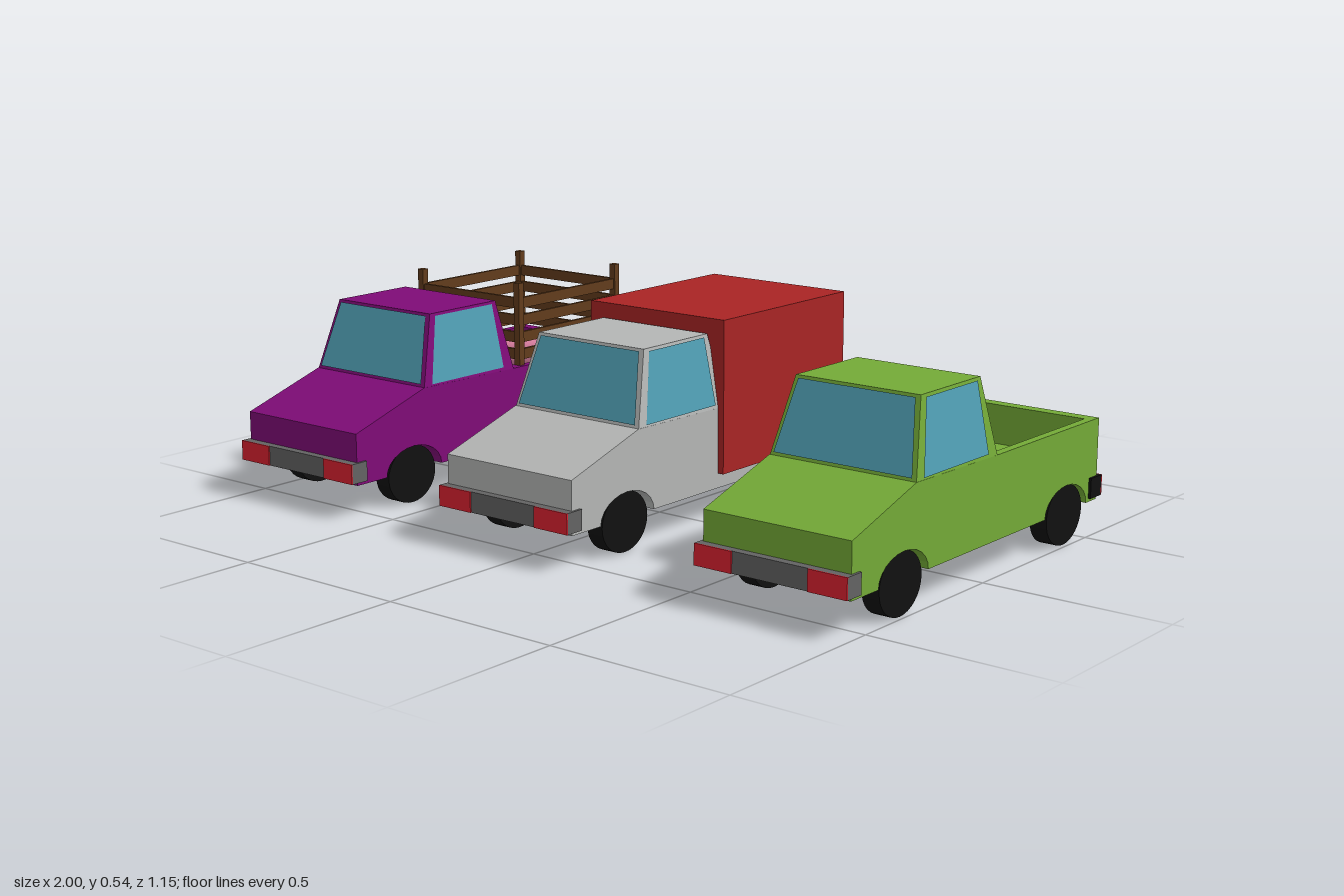
import * as THREE from 'three';
import { RoundedBoxGeometry } from 'three/addons/geometries/RoundedBoxGeometry.js';

const mat = (name, color, side = THREE.FrontSide) => {
  const m = new THREE.MeshStandardMaterial({ color, side });
  m.name = name;
  return m;
};

const HALF = 0.208;                                  // half width of the body
const BASE = 0.305, ROOF = 0.5;                      // cab sill and roof heights
const rise = (y) => (y - BASE) / (ROOF - BASE);
const cabHalf = (y) => HALF - 0.032 * rise(y);       // cab sides lean inwards
const screenZ = (y) => 0.295 - 0.06 * rise(y);       // windscreen leans back

export function createModel() {
  const M = {
    green: mat('green paint', 0x74aa37),
    purple: mat('purple paint', 0x7f0c77),
    silver: mat('silver paint', 0xb4b6b5),
    cargo: mat('cargo red', 0xa92424),
    glass: mat('window glass', 0x509fb4, THREE.DoubleSide),
    light: mat('lamp red', 0xdb2230),
    steel: mat('bumper grey', 0x636363),
    black: mat('rubber black', 0x101010),
    wood: mat('wood brown', 0x623c1c),
    pink: mat('pig pink', 0xdc80a2),
  };

  const add = (parent, name, geo, material, x = 0, y = 0, z = 0) => {
    const m = new THREE.Mesh(geo, material);
    m.name = name;
    m.position.set(x, y, z);
    parent.add(m);
    return m;
  };
  const box = (parent, name, material, w, h, d, x, y, z) =>
    add(parent, name, new THREE.BoxGeometry(w, h, d), material, x, y, z);

  // side profile of [z, y] points, extruded across the truck
  const across = (pts, width) => {
    const shape = new THREE.Shape(pts.map(([z, y]) => new THREE.Vector2(z, y)));
    return new THREE.ExtrudeGeometry(shape, { depth: width, bevelEnabled: false })
      .rotateY(-Math.PI / 2).translate(width / 2, 0, 0);
  };

  // flat four-cornered pane
  const pane = (corners) => {
    const g = new THREE.BufferGeometry();
    g.setAttribute('position', new THREE.Float32BufferAttribute(corners.flat(), 3));
    g.setIndex([0, 1, 2, 0, 2, 3]);
    g.computeVertexNormals();
    return g;
  };

  const arch = (cz) => Array.from({ length: 13 }, (_, i) => {
    const a = Math.PI * (1 - i / 12);
    return [cz + 0.104 * Math.cos(a), 0.09 + 0.068 * Math.sin(a)];
  });

  function truck(name, x, paint) {
    const t = new THREE.Group();
    t.name = name;
    t.position.x = x;

    // lower body with wheel arches and sunken bed
    add(t, 'body', across([
      [-0.56, 0.09], ...arch(-0.405), ...arch(0.338), [0.55, 0.09], [0.55, 0.23],
      [0.295, 0.31], [-0.06, BASE], [-0.097, BASE], [-0.097, 0.2],
      [-0.525, 0.2], [-0.525, BASE], [-0.56, BASE],
    ], HALF * 2), paint);

    // tapered cab
    const cab = across([[0.295, BASE], [0.235, ROOF], [-0.023, ROOF], [-0.06, BASE]], HALF * 2);
    const p = cab.attributes.position;
    for (let i = 0; i < p.count; i++) p.setX(i, Math.sign(p.getX(i)) * cabHalf(p.getY(i)));
    cab.computeVertexNormals();
    add(t, 'cab', cab, paint);

    // windows
    add(t, 'windscreen', pane(
      [[-0.196, 0.318], [0.196, 0.318], [0.165, 0.494], [-0.165, 0.494]]
        .map(([wx, y]) => [wx, y, screenZ(y) + 0.004])), M.glass);
    for (const s of [-1, 1]) {
      add(t, 'sideWindow', pane(
        [[0.265, 0.315], [0.219, 0.493], [-0.005, 0.493], [-0.018, 0.315]]
          .map(([z, y]) => [s * (cabHalf(y) + 0.003), y, z])), M.glass);

      // bed side wall
      box(t, 'bedSide', paint, 0.023, 0.105, 0.428, s * (HALF - 0.0115), 0.2525, -0.311);

      // wheels
      for (const z of [0.343, -0.406]) {
        const wheel = new THREE.CylinderGeometry(1, 1, 0.048, 32).rotateZ(Math.PI / 2)
          .scale(1, 0.079, 0.088);
        add(t, 'wheel', wheel, M.black, s * 0.179, 0.08, z);
      }
    }

    // bumpers with lamps at both ends
    for (const [s, label, m] of [[1, 'frontBumper', M.steel], [-1, 'rearBumper', M.black]]) {
      box(t, label, m, 0.43, 0.054, 0.053, 0, 0.126, s * 0.5465);
      for (const k of [-1, 1])
        box(t, 'lamp', M.light, 0.108, 0.054, 0.004, k * 0.161, 0.126, s * 0.5745);
    }
    return t;
  }

  // slatted wooden fence around the bed
  function fence() {
    const f = new THREE.Group();
    f.name = 'fence';
    const fx = 0.188, z0 = -0.107, z1 = -0.524, mid = (z0 + z1) / 2;
    for (const x of [-fx, fx])
      for (const z of [z0, z1]) box(f, 'post', M.wood, 0.02, 0.34, 0.02, x, 0.37, z);
    for (const y of [0.335, 0.384, 0.433, 0.482]) {
      for (const x of [-fx, fx]) box(f, 'sideSlat', M.wood, 0.01, 0.03, z0 - z1, x, y, mid);
      for (const z of [z0, z1]) box(f, 'endSlat', M.wood, fx * 2, 0.03, 0.01, 0, y, z);
    }
    return f;
  }

  // pig standing in the bed, snout towards local -x
  function pig() {
    const g = new THREE.Group();
    g.name = 'pig';
    add(g, 'pigBody', new RoundedBoxGeometry(0.19, 0.09, 0.1, 4, 0.035), M.pink, 0.015, 0.085, 0);
    add(g, 'pigHead', new RoundedBoxGeometry(0.07, 0.07, 0.08, 4, 0.025), M.pink, -0.075, 0.1, 0);
    add(g, 'snout', new THREE.CylinderGeometry(0.018, 0.02, 0.03, 14).rotateZ(Math.PI / 2),
      M.pink, -0.113, 0.092, 0);
    for (const s of [-1, 1]) {
      add(g, 'ear', new THREE.ConeGeometry(0.012, 0.025, 8), M.pink, -0.07, 0.143, s * 0.025);
      for (const x of [-0.045, 0.075])
        add(g, 'leg', new THREE.CylinderGeometry(0.013, 0.012, 0.05, 10), M.pink, x, 0.025, s * 0.03);
    }
    g.position.set(0.012, 0.2, -0.308);
    g.rotation.y = 0.43;
    return g;
  }

  const model = new THREE.Group();
  model.name = 'threeTrucks';

  const farm = truck('farmTruck', -0.785, M.purple);
  farm.add(fence(), pig());

  const delivery = truck('deliveryTruck', -0.036, M.silver);
  box(delivery, 'cargoBox', M.cargo, 0.452, 0.41, 0.542, 0, 0.335, -0.301);

  model.add(farm, delivery, truck('pickupTruck', 0.785, M.green));
  return model;
}
